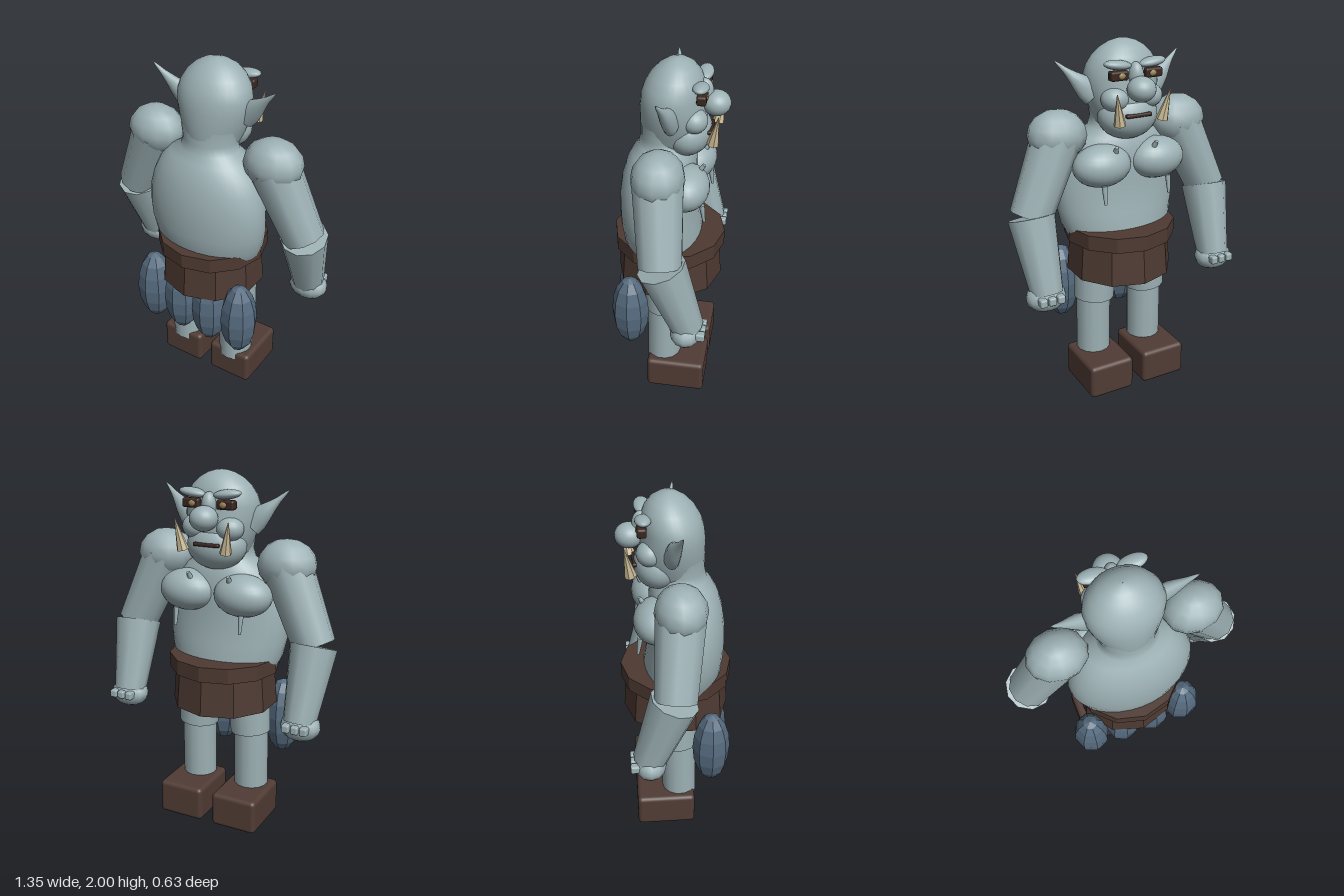
import * as THREE from 'three';
import { RoundedBoxGeometry } from 'three/addons/geometries/RoundedBoxGeometry.js';

const material = (name, color, options = {}) => {
  const m = new THREE.MeshStandardMaterial({ color, ...options });
  m.name = name;
  return m;
};

export function createModel() {
  const skin = material('skin', 0x9db1b5);
  const leather = material('leather', 0x4e3a32, { flatShading: true });
  const boot = material('boot leather', 0x513c35);
  const cloth = material('cloth', 0x566b7f, { flatShading: true });
  const ivory = material('ivory', 0xcdbd98, { flatShading: true });
  const dark = material('dark', 0x3a2620);
  const iris = material('iris', 0x9a8558);

  const model = new THREE.Group();
  model.name = 'ogre';

  const add = (name, geometry, mat, x = 0, y = 0, z = 0) => {
    const mesh = new THREE.Mesh(geometry, mat);
    mesh.name = name;
    mesh.position.set(x, y, z);
    model.add(mesh);
    return mesh;
  };

  const ellipsoid = (name, mat, [x, y, z], [rx, ry, rz], w = 24, h = 16) =>
    add(name, new THREE.SphereGeometry(1, w, h).scale(rx, ry, rz), mat, x, y, z);

  // Elliptical rings stacked upward; each row is [y, half width, front z, back z]
  const loft = (rows, n = 32) => {
    const positions = [], index = [];
    rows.forEach(([y, rx, front, back], i) => {
      for (let j = 0; j < n; j++) {
        const a = (j / n) * Math.PI * 2;
        positions.push(rx * Math.sin(a), y, (front + back) / 2 + (back - front) / 2 * Math.cos(a));
        if (i === rows.length - 1) continue;
        const p = i * n + j, q = i * n + (j + 1) % n;
        index.push(p, q, p + n, q, q + n, p + n);
      }
    });
    const g = new THREE.BufferGeometry();
    g.setAttribute('position', new THREE.Float32BufferAttribute(positions, 3));
    g.setIndex(index);
    g.computeVertexNormals();
    return g;
  };

  // Points a mesh's own y axis from a to b, starting at a
  const aim = (mesh, a, b) => {
    const from = new THREE.Vector3(...a);
    const dir = new THREE.Vector3(...b).sub(from).normalize();
    mesh.position.copy(from);
    mesh.quaternion.setFromUnitVectors(new THREE.Vector3(0, 1, 0), dir);
    return mesh;
  };

  // Tapered rod from a (radius ra) to b (radius rb)
  const rod = (name, mat, a, b, ra, rb, sides = 10) => {
    const length = new THREE.Vector3(...a).distanceTo(new THREE.Vector3(...b));
    const g = new THREE.CylinderGeometry(rb, ra, length, sides).translate(0, length / 2, 0);
    return aim(add(name, g, mat), a, b);
  };

  // Torso and neck
  add('torso', loft([
    [0.93, 0.305, -0.18, 0.23], [0.99, 0.33, -0.18, 0.255], [1.08, 0.348, -0.165, 0.265],
    [1.17, 0.352, -0.155, 0.268], [1.26, 0.345, -0.15, 0.265], [1.35, 0.322, -0.15, 0.252],
    [1.43, 0.285, -0.145, 0.228], [1.49, 0.23, -0.13, 0.195], [1.53, 0.165, -0.11, 0.165],
    [1.58, 0.15, -0.1, 0.153], [1.66, 0.165, -0.1, 0.15],
  ]), skin);

  // Skull
  add('head', loft([
    [1.56, 0.14, -0.16, 0.145], [1.62, 0.165, -0.19, 0.153], [1.69, 0.19, -0.195, 0.154],
    [1.76, 0.204, -0.19, 0.153], [1.82, 0.206, -0.18, 0.145], [1.87, 0.193, -0.18, 0.128],
    [1.92, 0.163, -0.163, 0.098], [1.96, 0.12, -0.133, 0.058], [1.985, 0.075, -0.095, 0.02],
    [1.997, 0.033, -0.06, -0.01], [2.0, 0.001, -0.036, -0.034],
  ]), skin);
  ellipsoid('jaw', skin, [0, 1.61, -0.095], [0.168, 0.13, 0.128]);
  ellipsoid('nose', skin, [0, 1.77, -0.24], [0.076, 0.066, 0.075]);
  ellipsoid('noseBridge', skin, [0, 1.83, -0.18], [0.04, 0.07, 0.045]);
  add('mouth', new RoundedBoxGeometry(0.15, 0.02, 0.03, 2, 0.008), dark, 0, 1.63, -0.214);

  // Belt and skirt
  add('belt', new THREE.CylinderGeometry(0.312, 0.312, 0.085, 12), leather, 0, 0.943, 0);
  add('skirt', new THREE.CylinderGeometry(0.283, 0.3, 0.22, 10), leather, 0, 0.805, 0);

  for (const s of [1, -1]) {
    const side = s > 0 ? 'left' : 'right';
    const part = (name) => side + name;

    // Face details
    ellipsoid(part('Brow'), skin, [s * 0.1, 1.89, -0.17], [0.078, 0.025, 0.042]).rotation.z = s * 0.12;
    add(part('EyeSocket'), new RoundedBoxGeometry(0.1, 0.05, 0.05, 2, 0.012), dark, s * 0.1, 1.838, -0.178);
    ellipsoid(part('Eye'), iris, [s * 0.09, 1.838, -0.197], [0.024, 0.018, 0.012], 12, 8);
    ellipsoid(part('Cheek'), skin, [s * 0.1, 1.71, -0.14], [0.075, 0.065, 0.07]);
    rod(part('Tusk'), ivory, [s * 0.125, 1.6, -0.24], [s * 0.155, 1.765, -0.268], 0.033, 0.002, 7);

    // Pointed ear
    aim(add(part('Ear'), loft([
      [0, 0.065, -0.045, 0.04], [0.05, 0.062, -0.045, 0.035], [0.1, 0.048, -0.045, 0.03],
      [0.15, 0.03, -0.032, 0.022], [0.2, 0.016, -0.018, 0.014], [0.25, 0.008, -0.008, 0.008],
      [0.28, 0.001, -0.001, 0.001],
    ], 16), skin), [s * 0.17, 1.72, -0.03], [s * 0.375, 1.915, 0.01]);

    // Chest with small spikes
    ellipsoid(part('Pec'), skin, [s * 0.165, 1.355, -0.115], [0.165, 0.115, 0.122]);
    rod(part('ChestSpike'), skin, [s * 0.195, 1.27, -0.2], [s * 0.195, 1.17, -0.215], 0.016, 0.008, 8);
    rod(part('CollarSpike'), skin, [s * 0.115, 1.42, -0.17], [s * 0.12, 1.47, -0.2], 0.018, 0.01, 8);

    // Arm
    ellipsoid(part('Shoulder'), skin, [s * 0.367, 1.52, 0], [0.165, 0.138, 0.137], 12, 8);
    rod(part('UpperArm'), skin, [s * 0.37, 1.51, 0], [s * 0.55, 1.11, -0.04], 0.135, 0.115);
    rod(part('Forearm'), skin, [s * 0.547, 1.11, -0.045], [s * 0.533, 0.72, -0.18], 0.13, 0.09);
    ellipsoid(part('Hand'), skin, [s * 0.538, 0.7, -0.175], [0.113, 0.08, 0.088], 12, 8);
    for (let i = -1; i <= 1; i++)
      add(part('Finger'), new RoundedBoxGeometry(0.042, 0.045, 0.05, 2, 0.01), skin,
        s * (0.54 + i * 0.05), 0.712, -0.256);

    // Leg and boot
    rod(part('Thigh'), skin, [s * 0.168, 0.535, -0.005], [s * 0.15, 0.78, 0], 0.115, 0.125, 14);
    rod(part('Shin'), skin, [s * 0.17, 0.15, 0.007], [s * 0.168, 0.57, 0.003], 0.099, 0.099, 14);
    add(part('Boot'), new RoundedBoxGeometry(0.272, 0.2, 0.338, 3, 0.025), boot, s * 0.17, 0.1, -0.077);

    // Hanging cloth lobes at the rear
    for (const x of [0.095, 0.29])
      ellipsoid(part('ClothLobe'), cloth, [s * x, 0.58, 0.18], [0.106, 0.226, 0.106], 8, 8);
  }
  return model;
}
